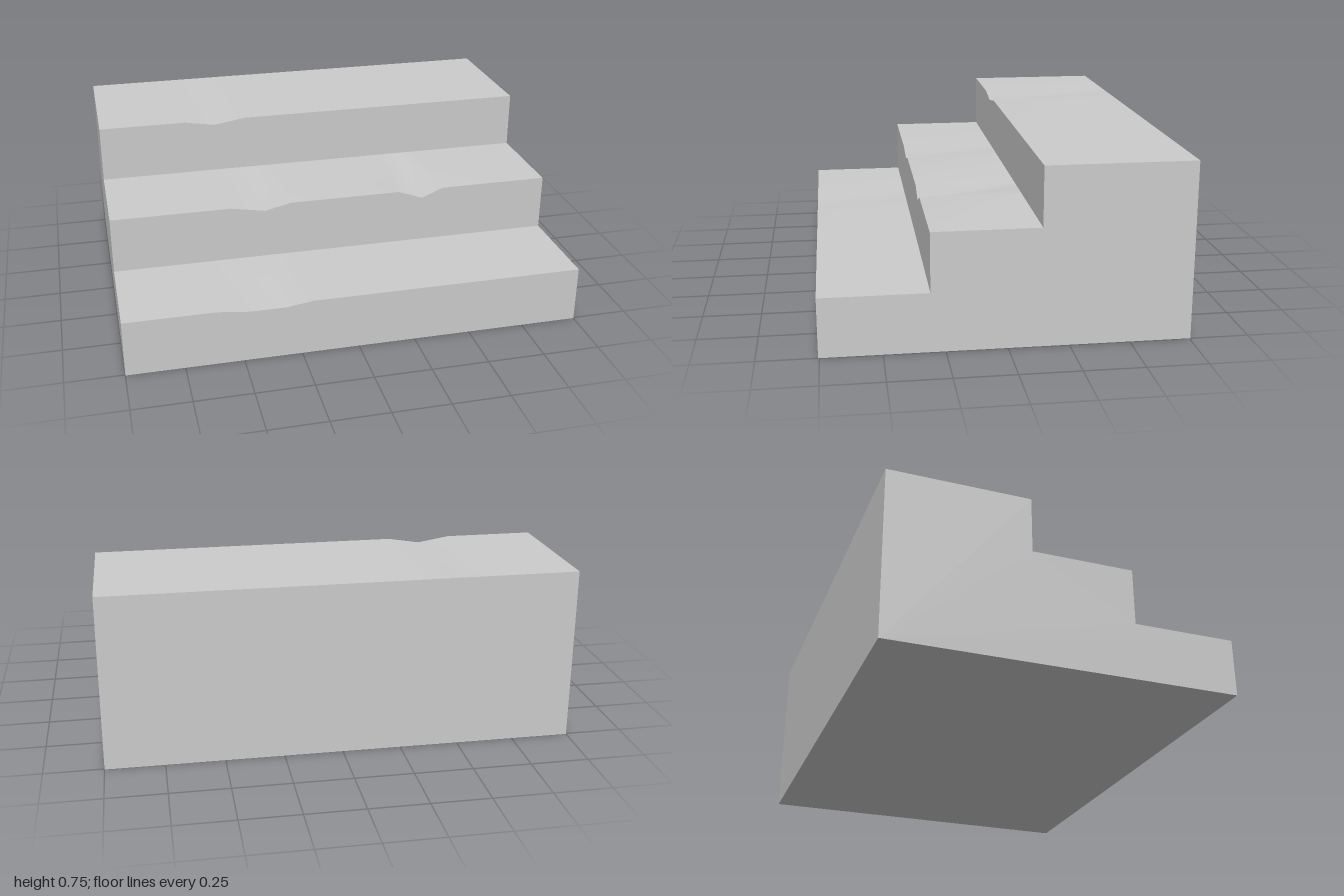
import * as THREE from 'three';

const HALF = 1, BACK = -0.755, RISE = 0.25;

// Each step: z of its riser, and the worn front edge as [x, drop] points
const STEPS = [
  { z: 0.755, wear: [[-0.61, 0], [-0.47, 0.016], [-0.32, 0.016], [-0.2, 0]] },
  { z: 0.31, wear: [[-0.47, 0], [-0.32, 0.027], [-0.2, 0], [0.3, 0], [0.41, 0.04], [0.51, 0]] },
  { z: -0.135, wear: [[-0.61, 0], [-0.47, 0.023], [-0.33, 0]] },
];

export function createModel() {
  const group = new THREE.Group();
  const material = new THREE.MeshStandardMaterial({ color: 0xcccccc });

  const add = (name, geometry) => {
    const mesh = new THREE.Mesh(geometry, material);
    mesh.name = name;
    group.add(mesh);
    return mesh;
  };

  // Surface between two edges that have the same number of points
  const addStrip = (name, a, b) => {
    const index = [], n = a.length;
    for (let i = 0; i < n - 1; i++) index.push(i, i + 1, n + i, i + 1, n + i + 1, n + i);
    const geometry = new THREE.BufferGeometry();
    geometry.setAttribute('position', new THREE.Float32BufferAttribute([...a, ...b].flat(), 3));
    geometry.setIndex(index);
    geometry.computeVertexNormals();
    add(name, geometry);
  };

  // Risers and treads; a tread slopes from its straight back edge to the worn nosing
  const profile = [[BACK, 0]];
  STEPS.forEach(({ z, wear }, i) => {
    const bottom = i * RISE, top = bottom + RISE;
    const zBack = i < STEPS.length - 1 ? STEPS[i + 1].z : BACK;
    const edge = [[-HALF, 0], ...wear, [HALF, 0]];
    const nosing = edge.map(([x, drop]) => [x, top - drop, z]);
    addStrip(`riser${i + 1}`, edge.map(([x]) => [x, bottom, z]), nosing);
    addStrip(`tread${i + 1}`, nosing, edge.map(([x]) => [x, top, zBack]));
    profile.push([z, bottom], [z, top]);
  });
  const height = STEPS.length * RISE;
  profile.push([BACK, height]);

  // Back wall and underside
  addStrip('backWall', [[HALF, 0, BACK], [-HALF, 0, BACK]], [[HALF, height, BACK], [-HALF, height, BACK]]);
  const front = STEPS[0].z;
  addStrip('underside', [[-HALF, 0, BACK], [HALF, 0, BACK]], [[-HALF, 0, front], [HALF, 0, front]]);

  // Stepped side walls
  for (const side of [-1, 1]) {
    const shape = new THREE.Shape(profile.map(([z, y]) => new THREE.Vector2(-side * z, y)));
    const wall = add(side > 0 ? 'leftSide' : 'rightSide', new THREE.ShapeGeometry(shape));
    wall.rotation.y = side * Math.PI / 2;
    wall.position.x = side * HALF;
  }
  return group;
}
